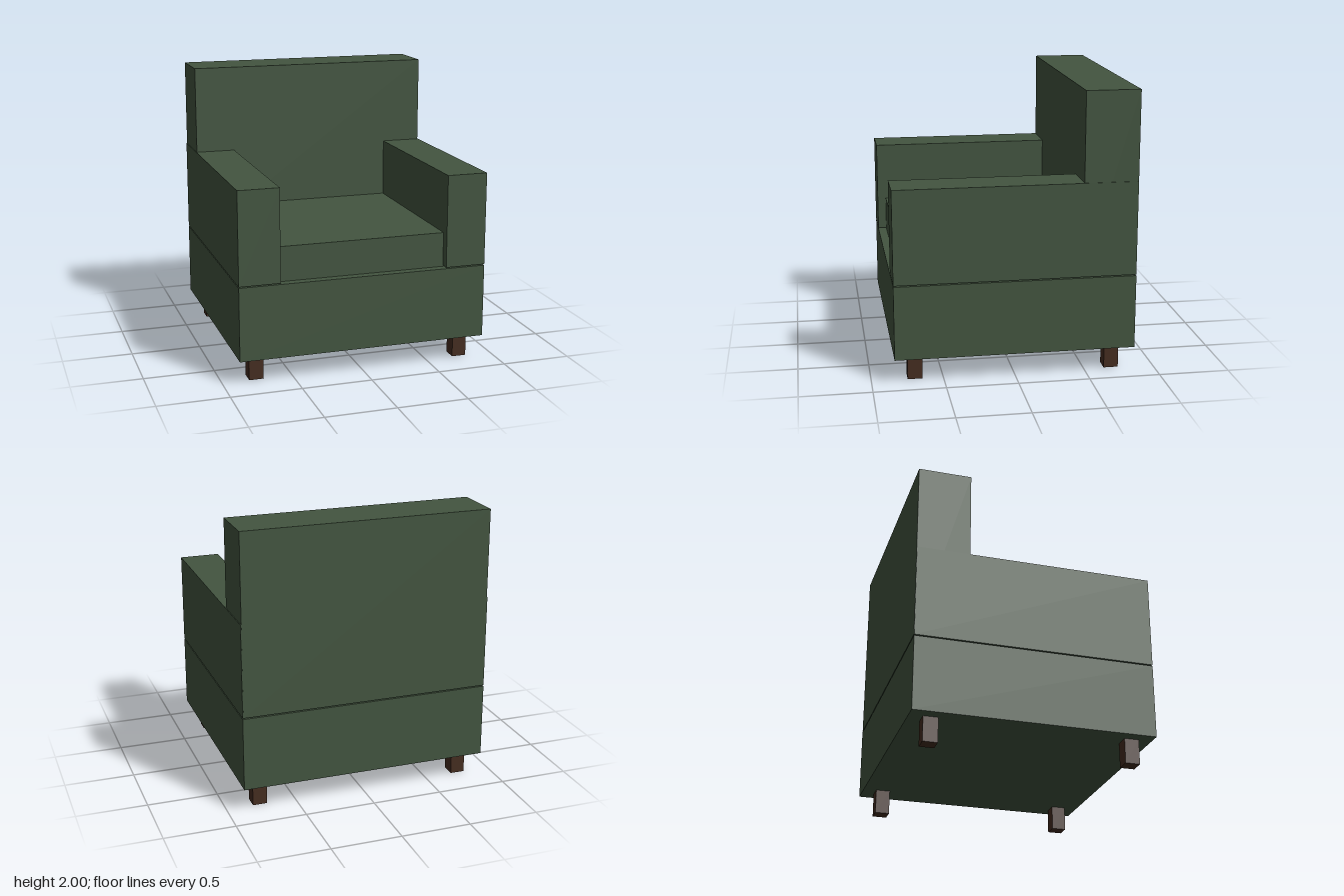
import * as THREE from 'three';

const fabric = new THREE.MeshStandardMaterial({ color: 0x435540 });
const wood = new THREE.MeshStandardMaterial({ color: 0x452d20 });

// Box given by its extents along each axis
function block(name, [x0, x1], [y0, y1], [z0, z1], material) {
  const mesh = new THREE.Mesh(new THREE.BoxGeometry(x1 - x0, y1 - y0, z1 - z0), material);
  mesh.position.set((x0 + x1) / 2, (y0 + y1) / 2, (z0 + z1) / 2);
  mesh.name = name;
  return mesh;
}

export function createModel() {
  const armchair = new THREE.Group();
  armchair.name = 'armchair';

  // Upholstered body
  armchair.add(
    block('base', [-0.893, 0.893], [0.175, 0.7], [-0.842, 0.842], fabric),
    block('seatCushion', [-0.61, 0.61], [0.698, 0.947], [-0.482, 0.78], fabric),
    block('backrest', [-0.888, 0.888], [0.708, 2], [-0.842, -0.465], fabric)
  );

  // Arms and legs, mirrored left and right
  for (const [side, s] of [['left', 1], ['right', -1]]) {
    const span = (a, b) => (s > 0 ? [a, b] : [-b, -a]);
    armchair.add(block(side + 'Arm', span(0.602, 0.893), [0.708, 1.37], [-0.841, 0.842], fabric));
    armchair.add(block(side + 'FrontLeg', span(0.705, 0.808), [0, 0.18], [0.645, 0.748], wood));
    armchair.add(block(side + 'BackLeg', span(0.705, 0.808), [0, 0.18], [-0.748, -0.645], wood));
  }
  return armchair;
}
